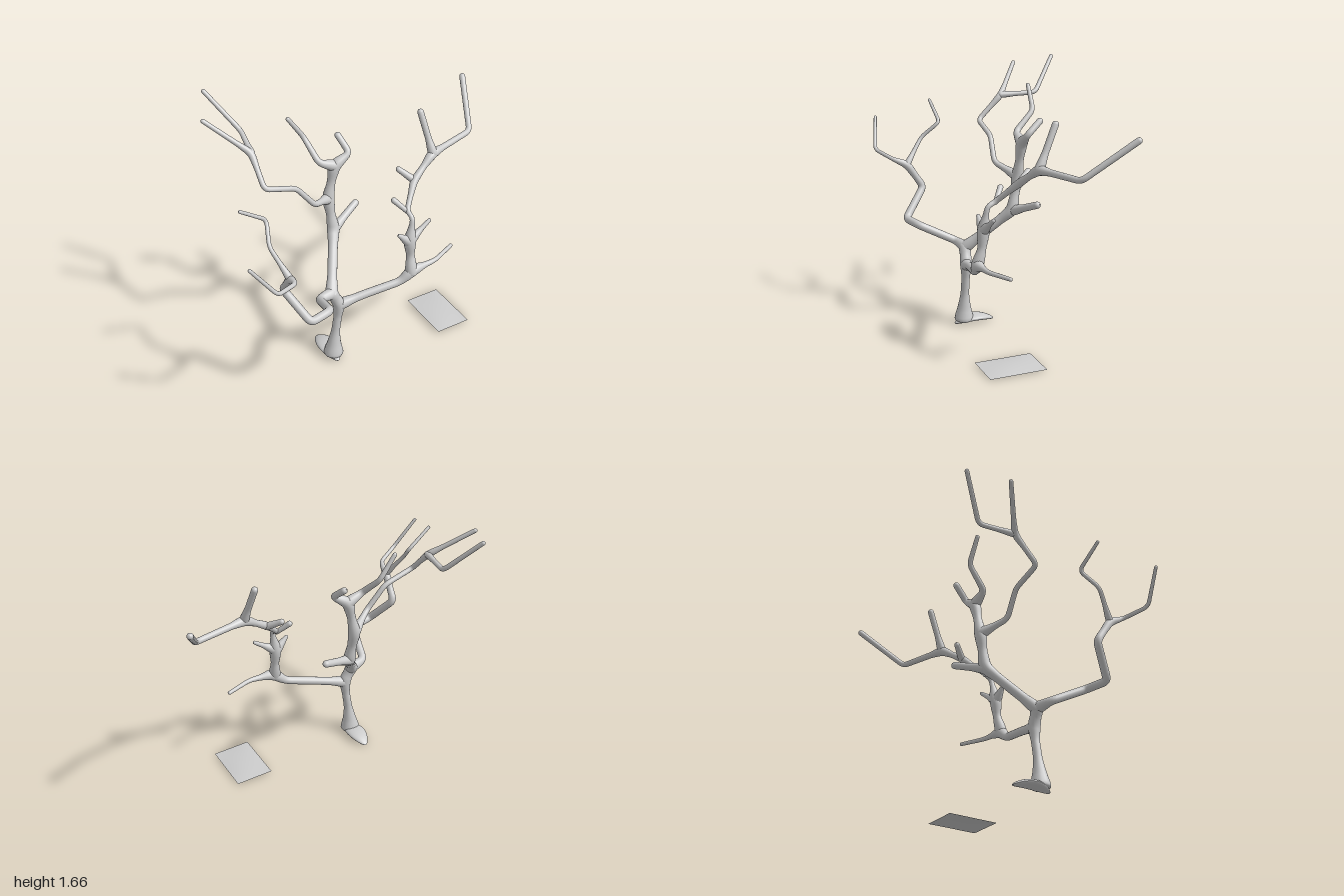
import * as THREE from 'three';

const SIDES = 16;

// Branches: [x, y, z, radius] along the centre line
const BRANCHES = {
  trunk: [[-0.3, 0.035, 0.2, 0.062], [-0.299, 0.06, 0.2, 0.057], [-0.295, 0.11, 0.2, 0.043], [-0.284, 0.2, 0.2, 0.027], [-0.262, 0.34, 0.2, 0.026], [-0.255, 0.42, 0.2, 0.029], [-0.3, 0.515, 0.19, 0.03]],

  // low limb on the model's left
  lowLimb: [[-0.255, 0.41, 0.2, 0.028], [-0.1, 0.445, 0.235, 0.026], [0.13, 0.49, 0.295, 0.025], [0.21, 0.555, 0.31, 0.024], [0.38, 0.56, 0.31, 0.014], [0.545, 0.56, 0.245, 0.012]],
  lowRiser: [[0.2, 0.54, 0.31, 0.025], [0.21, 0.65, 0.28, 0.026], [0.208, 0.76, 0.27, 0.026], [0.235, 0.91, 0.255, 0.014], [0.23, 0.935, 0.2, 0.016],
    [0.34, 1.055, 0.105, 0.019], [0.505, 1.165, 0.055, 0.021], [0.85, 1.165, -0.03, 0.018], [0.98, 1.385, -0.3, 0.019]],
  lowTwigA: [[0.208, 0.75, 0.27, 0.022], [0.13, 0.83, 0.27, 0.012]],
  lowTwigB: [[0.208, 0.76, 0.27, 0.022], [0.35, 0.855, 0.265, 0.012]],
  midTwigA: [[0.23, 0.93, 0.2, 0.015], [0.17, 1.0, 0.145, 0.018]],
  midTwigB: [[0.345, 1.055, 0.1, 0.018], [0.285, 1.11, 0.02, 0.018]],
  highTwig: [[0.51, 1.165, 0.055, 0.02], [0.485, 1.41, -0.055, 0.02]],

  // central limb
  centreLimb: [[-0.3, 0.51, 0.19, 0.03], [-0.13, 0.77, -0.065, 0.03], [-0.14, 0.98, -0.105, 0.027], [-0.09, 1.2, -0.11, 0.025],
    [0.01, 1.26, -0.1, 0.02], [-0.012, 1.34, -0.195, 0.02]],
  centreTwig: [[-0.13, 0.765, -0.065, 0.025], [0.075, 0.84, -0.14, 0.022]],
  centreTop: [[-0.09, 1.2, -0.11, 0.024], [-0.19, 1.25, -0.115, 0.02], [-0.218, 1.375, -0.245, 0.016], [-0.31, 1.52, -0.252, 0.013]],
  backLimb: [[-0.14, 0.98, -0.105, 0.025], [-0.285, 1.05, -0.01, 0.017], [-0.395, 1.2, -0.03, 0.016], [-0.595, 1.268, -0.03, 0.016], [-0.587, 1.425, -0.185, 0.016], [-0.785, 1.607, -0.362, 0.013]],
  backTwig: [[-0.587, 1.425, -0.185, 0.016], [-0.538, 1.435, -0.41, 0.015], [-0.67, 1.65, -0.588, 0.013]],

  // front limb on the model's right
  frontLimb: [[-0.3, 0.515, 0.19, 0.028], [-0.4, 0.53, 0.21, 0.025], [-0.455, 0.645, 0.44, 0.025], [-0.605, 0.655, 0.475, 0.025], [-0.695, 0.835, 0.325, 0.024],
    [-0.7, 0.99, 0.43, 0.019], [-0.715, 1.03, 0.52, 0.013], [-0.86, 1.075, 0.595, 0.012], [-0.99, 1.265, 0.548, 0.01]],
  frontTwig: [[-0.7, 0.99, 0.43, 0.016], [-0.755, 1.155, 0.31, 0.012], [-0.708, 1.253, 0.2, 0.012], [-0.865, 1.375, 0.21, 0.01]],
};

// Forks where the wood swells: [x, y, z, extra radius]
const FORKS = [
  [-0.255, 0.42, 0.2, 0.009], [-0.3, 0.515, 0.19, 0.009], [0.205, 0.555, 0.31, 0.012], [0.208, 0.76, 0.27, 0.012],
  [0.505, 1.165, 0.055, 0.009], [0.345, 1.055, 0.1, 0.005], [-0.13, 0.77, -0.065, 0.008], [-0.14, 0.98, -0.105, 0.01],
  [-0.09, 1.2, -0.11, 0.011], [-0.587, 1.425, -0.185, 0.005], [-0.7, 0.99, 0.43, 0.006],
].map(([x, y, z, k]) => ({ p: new THREE.Vector3(x, y, z), k }));

function swell(p) {
  return Math.max(...FORKS.map((f) => f.k * Math.max(0, 1 - (p.distanceTo(f.p) / 0.11) ** 2) ** 2));
}

// Densely sampled centre line with each bend rounded off
function samplePath(points) {
  const pts = points.map((a) => new THREE.Vector4(...a));
  const out = [];
  const gap = (a, b) => a.clone().sub(b).length();
  const line = (a, b) => {
    const n = Math.max(1, Math.ceil(gap(a, b) / 0.02));
    for (let i = 0; i < n; i++) out.push(a.clone().lerp(b, i / n));
  };
  let from = pts[0];
  for (let i = 1; i < pts.length - 1; i++) {
    const p = pts[i];
    const near = (q) => p.clone().lerp(q, Math.min(0.4, 0.035 / gap(p, q)));
    const a = near(pts[i - 1]), b = near(pts[i + 1]);
    line(from, a);
    for (let k = 0; k < 5; k++) {
      const t = k / 5;
      out.push(a.clone().lerp(p, t).lerp(p.clone().lerp(b, t), t));
    }
    from = b;
  }
  line(from, pts[pts.length - 1]);
  out.push(pts[pts.length - 1]);
  return out.map((v) => {
    const p = new THREE.Vector3(v.x, v.y, v.z);
    return { p, r: v.w + swell(p) };
  });
}

// Round tube of varying radius with domed ends
function branchGeometry(points) {
  const path = samplePath(points);
  const last = path.length - 1;
  const dir = (i) => path[Math.min(i + 1, last)].p.clone().sub(path[Math.max(i - 1, 0)].p).normalize();
  const rings = path.map((s, i) => ({ ...s, t: dir(i) }));
  const dome = (end, sign) => [0.35, 0.65, 0.88, 0.998].map((h) => ({
    p: end.p.clone().addScaledVector(end.t, sign * h * Math.min(end.r, 0.025)),
    r: end.r * Math.sqrt(1 - h * h), t: end.t,
  }));
  const all = [...dome(rings[0], -1).reverse(), ...rings, ...dome(rings[last], 1)];

  const position = [], index = [];
  const u = new THREE.Vector3(0.31, 0.2, 0.93), v = new THREE.Vector3();
  all.forEach(({ p, r, t }, i) => {
    u.addScaledVector(t, -u.dot(t)).normalize();
    v.crossVectors(t, u);
    for (let j = 0; j < SIDES; j++) {
      const a = (j / SIDES) * Math.PI * 2;
      const q = p.clone().addScaledVector(u, r * Math.cos(a)).addScaledVector(v, r * Math.sin(a));
      position.push(q.x, q.y, q.z);
      if (i === all.length - 1) continue;
      const k = (j + 1) % SIDES, A = i * SIDES, B = A + SIDES;
      index.push(A + j, A + k, B + j, A + k, B + k, B + j);
    }
  });
  const g = new THREE.BufferGeometry();
  g.setAttribute('position', new THREE.Float32BufferAttribute(position, 3));
  g.setIndex(index);
  g.computeVertexNormals();
  return g;
}

// Move every vertex by a rule
function reshape(g, rule) {
  const pos = g.attributes.position, p = new THREE.Vector3();
  for (let i = 0; i < pos.count; i++) {
    rule(p.fromBufferAttribute(pos, i));
    pos.setXYZ(i, p.x, p.y, p.z);
  }
  g.computeVertexNormals();
  return g;
}

export function createModel() {
  const model = new THREE.Group();
  model.name = 'bareTree';
  const grey = new THREE.MeshStandardMaterial({ color: 0xcccccc, side: THREE.DoubleSide });
  grey.name = 'grey';
  const add = (name, geometry) => {
    const mesh = new THREE.Mesh(geometry, grey);
    mesh.name = name;
    model.add(mesh);
  };

  for (const [name, points] of Object.entries(BRANCHES)) add(name, branchGeometry(points));

  // Arched, pointed foot spreading behind the trunk
  add('rootFoot', reshape(new THREE.SphereGeometry(1, 24, 16).rotateX(Math.PI / 2), (p) => {
    const z = p.z;
    p.set(-0.303 + p.x * 0.062 * Math.sqrt(1 - 0.5 * z * z), 0.034 + p.y * 0.022 - 0.028 * z * z, 0.13 + z * 0.134);
  }));

  // Thin, gently domed sheet on the ground
  add('groundSheet', reshape(new THREE.PlaneGeometry(2, 2, 10, 10).rotateX(-Math.PI / 2), (p) => {
    const { x, z } = p;
    p.set(0.492 + x * 0.118, 0.012 - 0.006 * x + 0.012 * (1 - x * x) * (1 - z * z), 0.22 + z * 0.178);
  }));
  return model;
}
